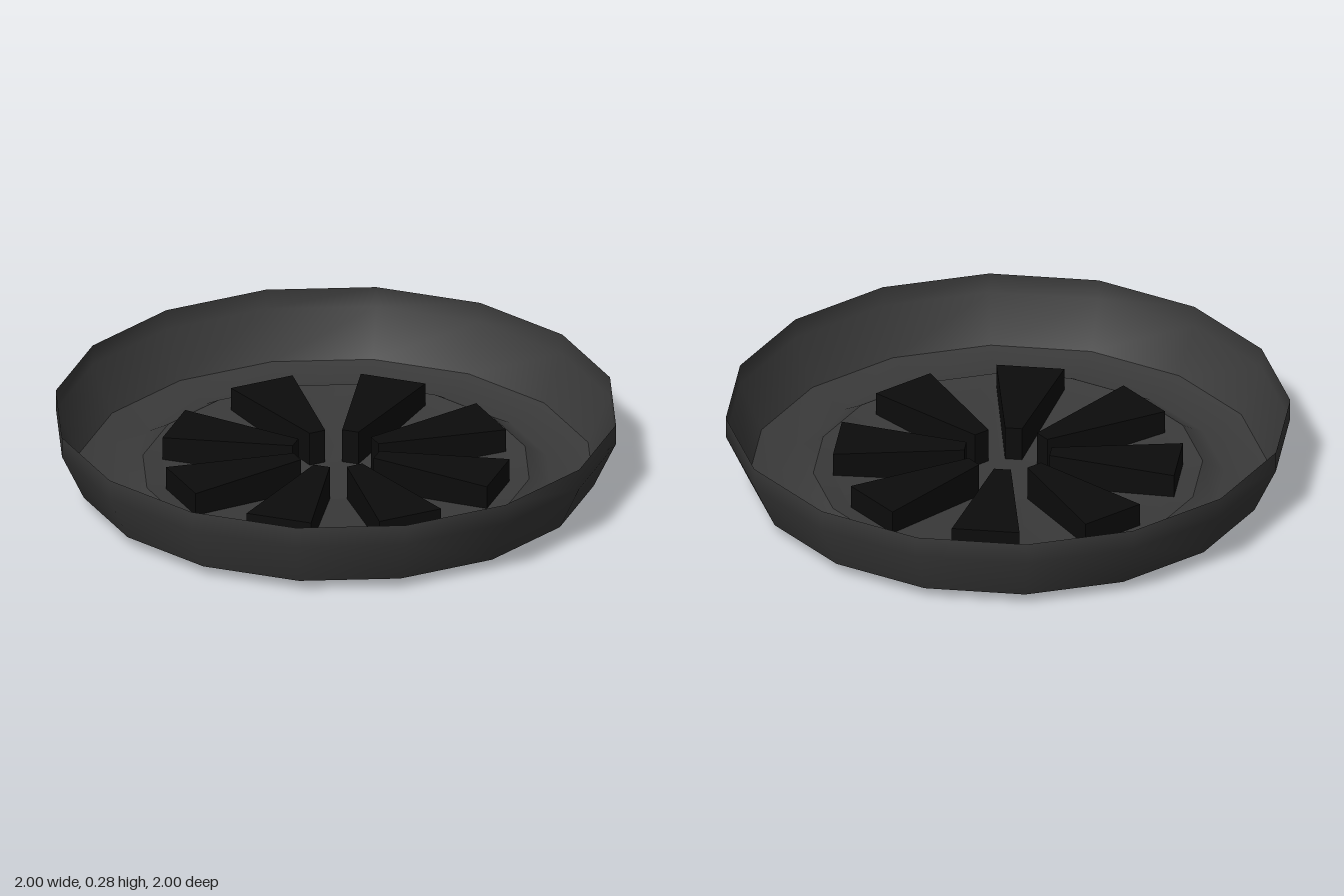
import * as THREE from 'three';

const SIDES = 16;
const STEP = (Math.PI * 2) / SIDES;
const HUB_R = 0.155, VENT_R = 0.62, VENT_Y = 0.04, VENT_TOP = 0.125;

const shell = new THREE.MeshStandardMaterial({ color: 0x3a3a3a, side: THREE.DoubleSide });
shell.name = 'charcoal shell';
const vent = new THREE.MeshStandardMaterial({ color: 0x0c0c0c, side: THREE.DoubleSide });
vent.name = 'black vent';

// Faceted ring turned from a short profile, running from the centre outwards
function turned(name, profile, segments = SIDES, start = 0) {
  const points = profile.map(([r, y]) => new THREE.Vector2(r, y));
  const geometry = new THREE.LatheGeometry(points, segments, start, segments * STEP);
  const mesh = new THREE.Mesh(geometry, shell);
  mesh.name = name;
  return mesh;
}

// Wedge pocket, open below: four walls and a flat cap, filling one side step
function pocketGeometry() {
  const corner = (r, phi, y) => [r * Math.sin(phi), y, r * Math.cos(phi)];
  const rim = [[HUB_R, 0, 0], [VENT_R, 0, VENT_Y], [VENT_R, STEP, VENT_Y], [HUB_R, STEP, 0]];
  const low = rim.map(([r, phi, y]) => corner(r, phi, y));
  const high = rim.map(([r, phi]) => corner(r, phi, VENT_TOP));
  const positions = [];
  const quad = (a, b, c, d) => positions.push(...a, ...b, ...c, ...a, ...c, ...d);
  for (let i = 0; i < 4; i++) {
    const j = (i + 1) % 4;
    quad(low[i], low[j], high[j], high[i]);
  }
  quad(high[0], high[1], high[2], high[3]);
  const geometry = new THREE.BufferGeometry();
  geometry.setAttribute('position', new THREE.Float32BufferAttribute(positions, 3));
  geometry.computeVertexNormals();
  return geometry;
}

export function createModel() {
  const model = new THREE.Group();
  model.name = 'ventedDish';

  // Outer wall, base ring with its raised step, and the shallow centre
  model.add(
    turned('outerWall', [[0.92 / Math.cos(0), 0.04], [1, 0.21], [1, 0.285]]),
    turned('baseRing', [[0.69, 0.052], [0.77, 0.006], [0.92, 0.04]]),
    turned('panelRim', [[VENT_R, VENT_Y], [0.69, 0.052]]),
    turned('hub', [[0, 0], [HUB_R, 0]])
  );

  // Spokes and wedge pockets take turns around the hub
  const pocket = pocketGeometry();
  for (let i = 0; i < SIDES / 2; i++) {
    model.add(turned('spoke', [[HUB_R, 0], [VENT_R, VENT_Y]], 1, 2 * i * STEP));
    const mesh = new THREE.Mesh(pocket, vent);
    mesh.name = 'ventPocket';
    mesh.rotation.y = (2 * i + 1) * STEP;
    model.add(mesh);
  }
  return model;
}
